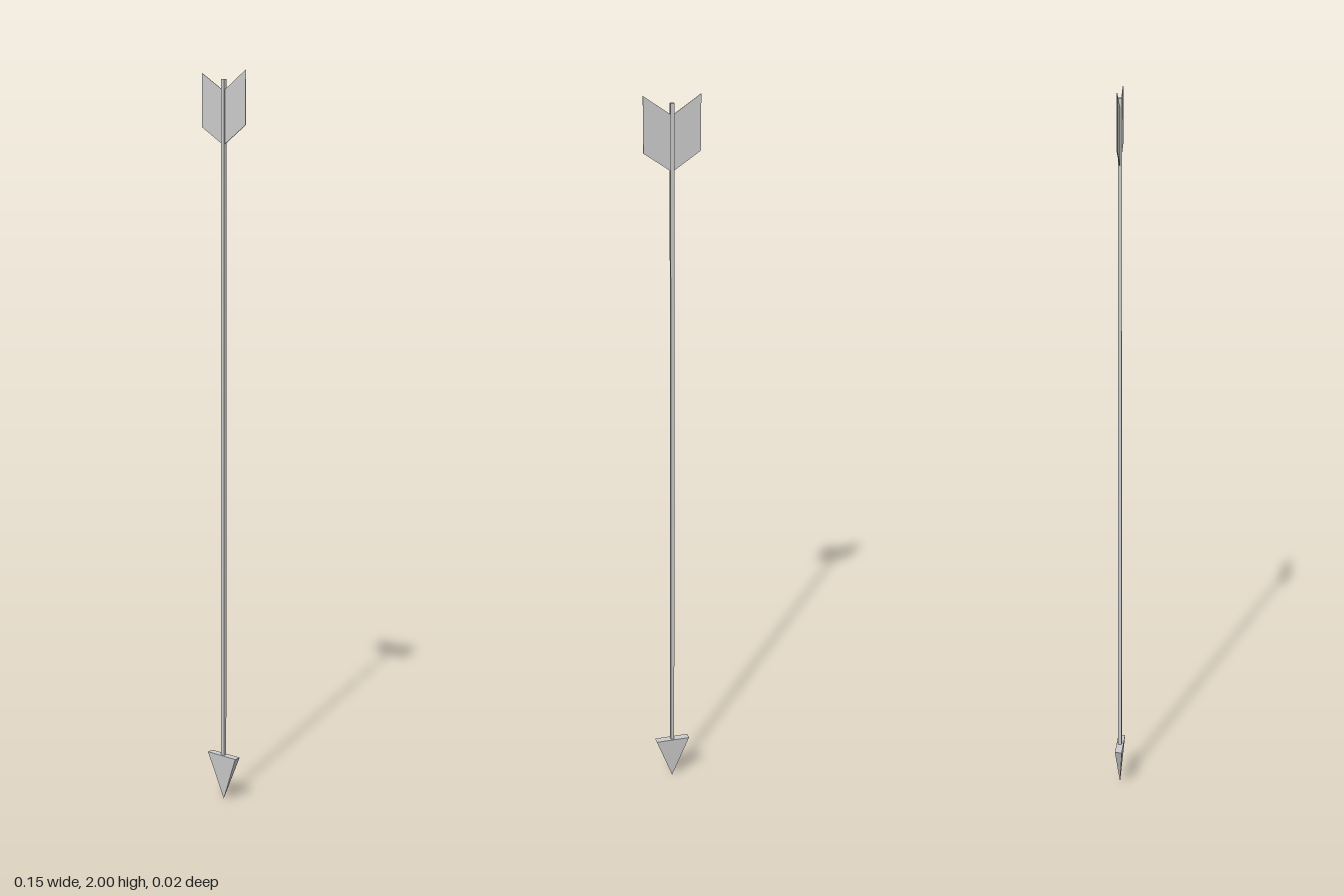
import * as THREE from 'three';

export function createModel() {
  const model = new THREE.Group();
  const material = new THREE.MeshStandardMaterial({ color: 0xcccccc, flatShading: true });
  const add = (name, geometry) => {
    const mesh = new THREE.Mesh(geometry, material);
    mesh.name = name;
    model.add(mesh);
  };

  // Square shaft running from inside the head to just past the fletching notch
  const shaftBottom = 0.1, shaftTop = 1.98;
  add('shaft', new THREE.BoxGeometry(0.01, shaftTop - shaftBottom, 0.01)
    .translate(0, (shaftTop + shaftBottom) / 2, 0));

  // Flattened four-sided pyramid head, point down
  const headHeight = 0.13;
  add('arrowhead', new THREE.ConeGeometry(Math.SQRT2, headHeight, 4)
    .rotateY(Math.PI / 4)
    .rotateX(Math.PI)
    .scale(0.049, 1, 0.01)
    .translate(0, headHeight / 2, 0));

  // Thin chevron fletching
  const outline = [[0, 1.81], [0.074, 1.86], [0.074, 2], [0, 1.95], [-0.074, 2], [-0.074, 1.86]];
  const thickness = 0.002;
  add('fletching', new THREE.ExtrudeGeometry(
    new THREE.Shape(outline.map(([x, y]) => new THREE.Vector2(x, y))),
    { depth: thickness, bevelEnabled: false }
  ).translate(0, 0, -thickness / 2));

  return model;
}
